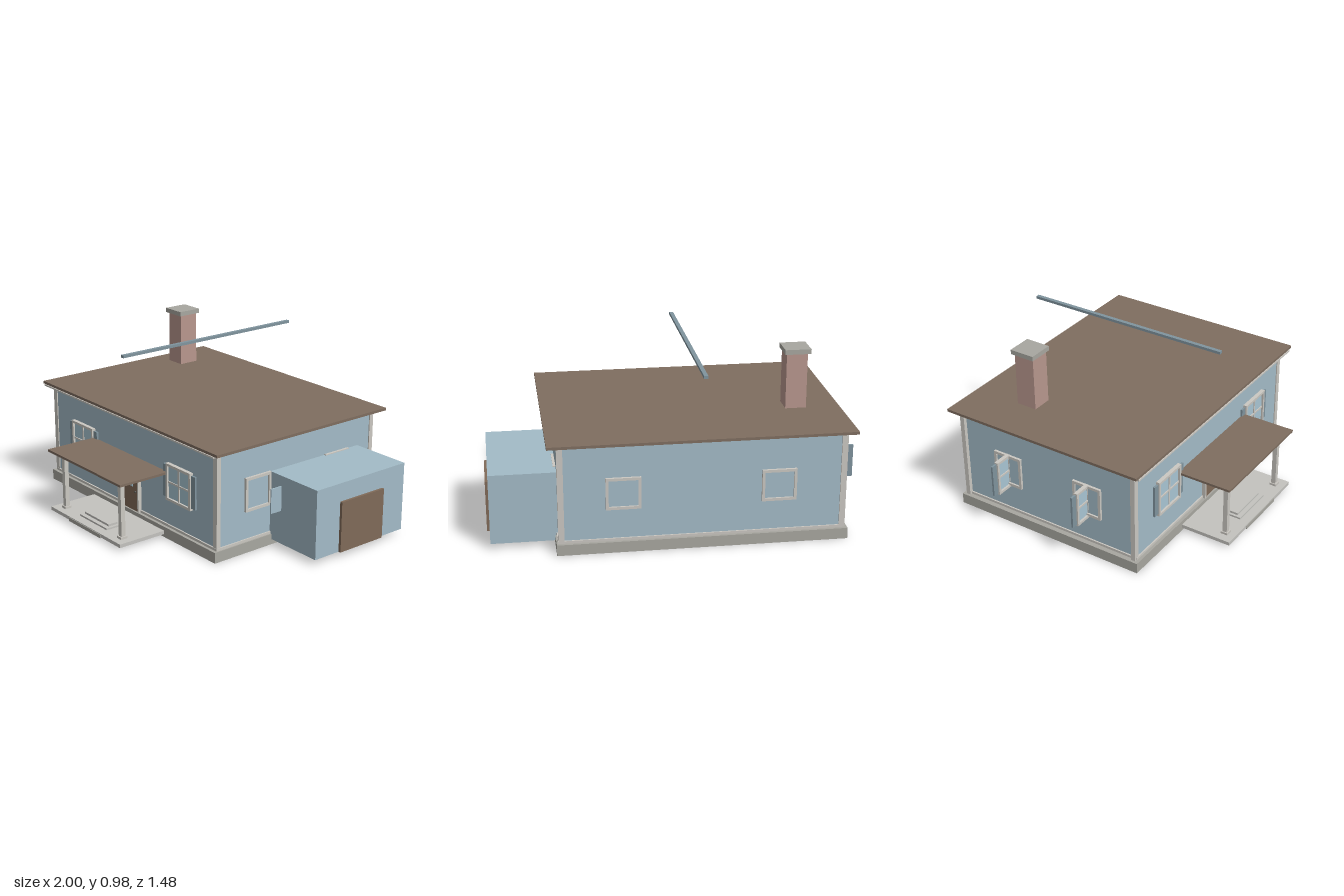
import * as THREE from 'three';

const mat = (name, color) => {
  const m = new THREE.MeshStandardMaterial({ color });
  m.name = name;
  return m;
};

export function createModel() {
  const M = {
    wall: mat('blue siding', 0xa3bbc7),
    roof: mat('brown roof', 0x7f6e60),
    door: mat('brown door', 0x806a58),
    trim: mat('pale trim', 0xcbc8c2),
    stone: mat('grey stone', 0xa8a7a0),
    porch: mat('light concrete', 0xc4c3bf),
    brick: mat('red brick', 0xb8978e),
    slate: mat('slate blue', 0x80949e),
    glass: mat('window glass', 0xa9c6d4),
    metal: mat('dark metal', 0x55524c),
  };
  const house = new THREE.Group();
  house.name = 'house';

  // Box given by its extents along each axis
  const box = (name, m, x0, x1, y0, y1, z0, z1, parent = house) => {
    const mesh = new THREE.Mesh(new THREE.BoxGeometry(x1 - x0, y1 - y0, z1 - z0), m);
    mesh.position.set((x0 + x1) / 2, (y0 + y1) / 2, (z0 + z1) / 2);
    mesh.name = name;
    parent.add(mesh);
    return mesh;
  };

  // Four bars around an opening, facing +z, back on z = 0
  const frame = (parent, w, h, bar, depth) => {
    for (const s of [-1, 1]) {
      const x = s * (w - bar) / 2, y = s * (h - bar) / 2;
      box('frameSide', M.trim, x - bar / 2, x + bar / 2, -h / 2, h / 2, 0, depth, parent);
      box('frameRail', M.trim, -w / 2 + bar, w / 2 - bar, y - bar / 2, y + bar / 2, 0, depth, parent);
    }
  };

  const group = (name, x, y, z, turn = 0) => {
    const g = new THREE.Group();
    g.name = name;
    g.position.set(x, y, z);
    g.rotation.y = turn;
    house.add(g);
    return g;
  };

  // Shuttered window with crossed glazing bars
  const shutteredWindow = (name, x, y, z, w, h, depth) => {
    const g = group(name, x, y, z);
    frame(g, w, h, 0.014, depth);
    box('glass', M.glass, -w / 2 + 0.01, w / 2 - 0.01, -h / 2 + 0.01, h / 2 - 0.01, 0.002, depth * 0.5, g);
    box('uprightBar', M.trim, -0.005, 0.005, -h / 2 + 0.014, h / 2 - 0.014, 0.001, depth * 0.75, g);
    box('crossBar', M.trim, -w / 2 + 0.014, w / 2 - 0.014, -0.005, 0.005, 0.001, depth * 0.75, g);
    for (const s of [-1, 1]) {
      const c = s * (w / 2 + 0.016);
      box('shutter', M.slate, c - 0.017, c + 0.017, -0.092, 0.092, 0.002, depth * 0.6, g);
    }
  };

  // Plain framed window
  const plainWindow = (name, x, y, z, turn, w, h) => {
    const g = group(name, x, y, z, turn);
    frame(g, w, h, 0.015, 0.014);
    box('glass', M.wall, -w / 2 + 0.01, w / 2 - 0.01, -h / 2 + 0.01, h / 2 - 0.01, 0, 0.004, g);
  };

  // Main body
  box('foundation', M.stone, -0.9, 0.645, 0, 0.06, -0.715, 0.445);
  box('walls', M.wall, -0.865, 0.63, 0.06, 0.6, -0.69, 0.42);
  box('baseTrim', M.trim, -0.873, 0.638, 0.06, 0.074, -0.698, 0.428);
  box('friezeTrim', M.trim, -0.871, 0.636, 0.584, 0.597, -0.696, 0.426);
  for (const x of [-0.87, 0.62])
    for (const z of [-0.684, 0.413])
      box('cornerTrim', M.trim, x - 0.016, x + 0.016, 0.06, 0.595, z - 0.013, z + 0.013);

  // Roof, eaves and the raised ridge bar
  box('roof', M.roof, -0.93, 0.687, 0.6, 0.615, -0.742, 0.467);
  box('frontEave', M.trim, -0.912, 0.66, 0.591, 0.6, 0.42, 0.473);
  box('backEave', M.trim, -0.912, 0.66, 0.591, 0.6, -0.704, -0.69);
  box('ridgeBar', M.slate, -0.134, -0.112, 0.938, 0.953, -0.735, 0.464);

  // Chimney
  box('chimney', M.brick, -0.72, -0.607, 0.648, 0.952, -0.428, -0.31);
  box('chimneyCap', M.stone, -0.736, -0.596, 0.95, 0.976, -0.44, -0.298);

  // Porch floor, steps, posts and canopy
  box('porchFloor', M.porch, -0.46, 0.21, 0.017, 0.037, 0.44, 0.738);
  box('frontStep', M.stone, -0.275, 0.03, 0.012, 0.033, 0.676, 0.742);
  box('lowerStep', M.porch, -0.25, 0.012, 0.036, 0.047, 0.6, 0.685);
  box('upperStep', M.porch, -0.235, -0.005, 0.047, 0.059, 0.6, 0.66);
  for (const x of [-0.393, 0.147]) {
    box('porchPost', M.trim, x - 0.013, x + 0.013, 0.037, 0.35, 0.665, 0.691);
    box('postBase', M.trim, x - 0.019, x + 0.019, 0.037, 0.05, 0.658, 0.698);
  }
  box('canopy', M.roof, -0.472, 0.222, 0.365, 0.378, 0.425, 0.737);

  // Front door
  const door = group('frontDoor', -0.122, 0.19, 0.42);
  frame(door, 0.186, 0.285, 0.011, 0.022);
  box('doorPanel', M.door, -0.083, 0.083, -0.135, 0.135, 0, 0.015, door);
  box('doorGlass', M.glass, -0.036, 0.034, 0.01, 0.09, 0.012, 0.018, door);
  const knob = new THREE.Mesh(new THREE.SphereGeometry(0.006, 12, 8), M.metal);
  knob.name = 'doorKnob';
  knob.position.set(0.066, -0.012, 0.022);
  door.add(knob);

  // Front windows
  for (const x of [-0.573, 0.328])
    shutteredWindow('frontWindow', x, 0.328, 0.42, 0.21, 0.21, 0.022);

  // Right-hand wall: frames with shuttered panes projecting from the siding
  for (const z of [0.12, -0.395]) {
    plainWindow('sideFrame', -0.865, 0.32, z, -Math.PI / 2, 0.175, 0.19);
    shutteredWindow('projectingWindow', -0.866, 0.316, z - 0.011, 0.205, 0.2, 0.022);
  }

  // Left-hand wall and back wall windows
  for (const z of [0.148, -0.42])
    plainWindow('sideWindow', 0.63, 0.325, z, Math.PI / 2, 0.175, 0.19);
  for (const x of [0.295, -0.525])
    plainWindow('backWindow', x, 0.325, -0.69, Math.PI, 0.185, 0.175);

  // Garage wing
  box('garage', M.wall, 0.63, 0.985, 0.03, 0.415, -0.585, 0.055);
  box('garageDoor', M.door, 0.985, 1, 0.03, 0.313, -0.42, -0.112);
  box('garagePane', M.wall, 0.711, 0.718, 0.218, 0.357, 0, 0.127);

  return house;
}
